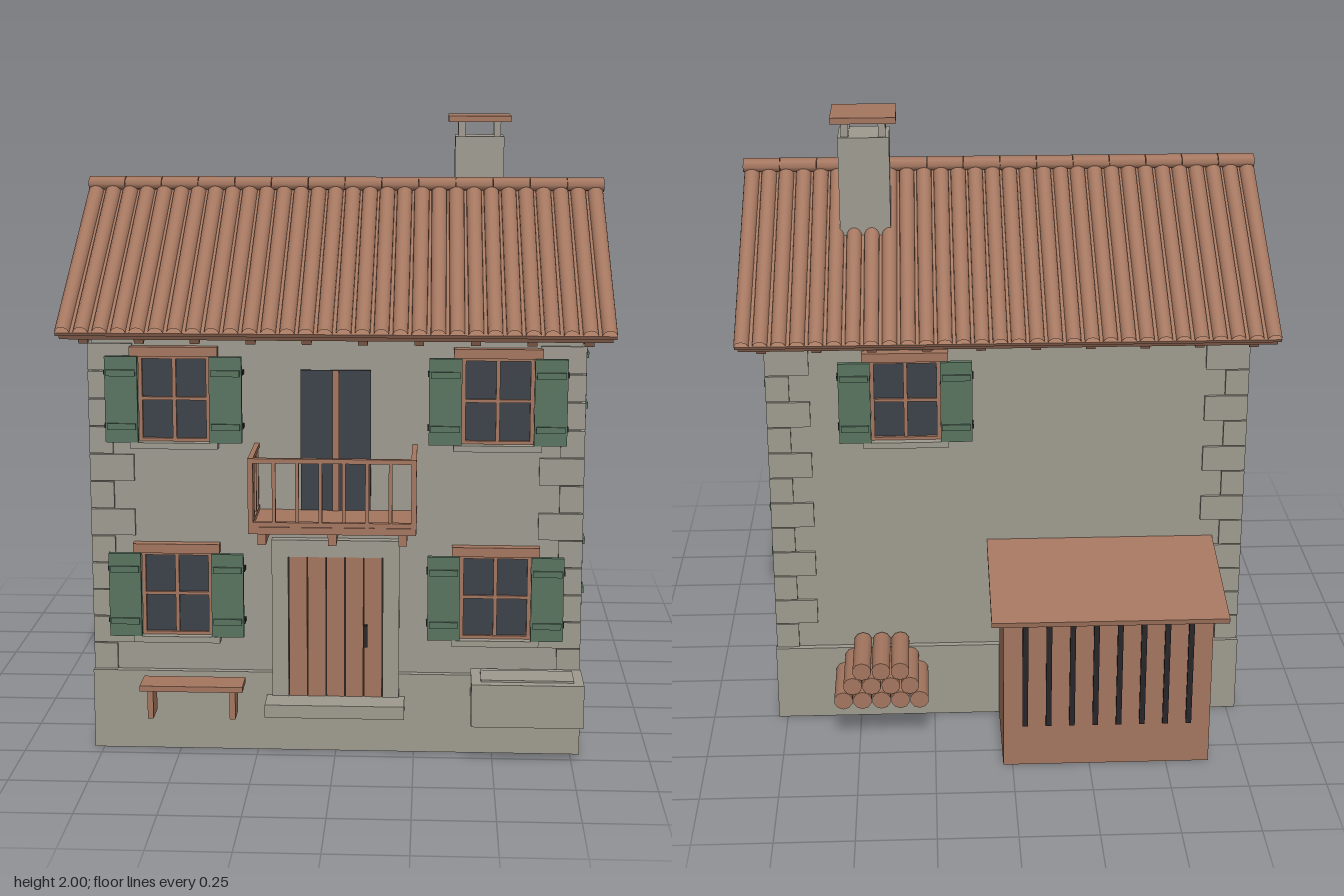
import * as THREE from 'three';

const flat = (name, color, side = THREE.FrontSide) => {
  const m = new THREE.MeshStandardMaterial({ color, side });
  m.name = name;
  return m;
};

export function createModel() {
  const stone = flat('stone', 0x9e9a8f);
  const wood = flat('wood', 0xa4765f);
  const tile = flat('terracotta', 0xa4765f, THREE.DoubleSide);
  const green = flat('shutter green', 0x58735f);
  const glass = flat('glass', 0x3b4048);
  const iron = flat('iron', 0x26262a);

  const house = new THREE.Group();
  house.name = 'house';
  const MID = 0.0975; // z of the ridge and of the house centre

  const group = (name, parent = house) => {
    const g = new THREE.Group();
    g.name = name;
    parent.add(g);
    return g;
  };
  const add = (name, geo, mat, x, y, z, parent = house) => {
    const m = new THREE.Mesh(geo, mat);
    m.name = name;
    m.position.set(x, y, z);
    parent.add(m);
    return m;
  };
  const box = (name, mat, w, h, d, x, y, z, parent) =>
    add(name, new THREE.BoxGeometry(w, h, d), mat, x, y, z, parent);

  // Plinth and gabled walls
  box('plinth', stone, 1.56, 0.26, 1.205, 0, 0.13, MID);
  const gable = new THREE.Shape([
    [-0.582, 0.2], [0.582, 0.2], [0.582, 1.4], [0, 1.745], [-0.582, 1.4],
  ].map(([x, y]) => new THREE.Vector2(x, y)));
  const wallGeo = new THREE.ExtrudeGeometry(gable, { depth: 1.53, bevelEnabled: false });
  wallGeo.translate(0, 0, -0.765).rotateY(Math.PI / 2);
  add('walls', wallGeo, stone, 0, 0, MID);

  // Corner stones, long and short by turns on each face
  const quoins = group('cornerStones');
  for (const sx of [-1, 1]) for (const sz of [-1, 1]) for (let i = 0; i < 12; i++) {
    const w = i % 2 ? 0.14 : 0.075, d = i % 2 ? 0.07 : 0.138;
    box('cornerStone', stone, w, 0.085, d,
      sx * (0.777 - w / 2), 0.304 + i * 0.0885, MID + sz * (0.592 - d / 2), quoins);
  }

  // Roof: two slopes of cover tiles over a deck with rafters
  const LEN = 0.8, PITCH = Math.atan(0.585);
  const coverGeo = new THREE.CylinderGeometry(0.024, 0.026, LEN, 8, 1, true, -Math.PI / 2, Math.PI);
  coverGeo.rotateX(Math.PI / 2);
  coverGeo.rotateZ(Math.PI);
  coverGeo.computeBoundingBox();
  if (coverGeo.boundingBox.max.y < 0.01) coverGeo.rotateZ(Math.PI);
  for (const s of [1, -1]) {
    const side = group(s > 0 ? 'frontRoof' : 'backRoof');
    side.position.set(0, 1.785, MID);
    side.rotation.order = 'YXZ';
    side.rotation.set(PITCH, s > 0 ? 0 : Math.PI, 0);
    box('roofDeck', wood, 1.7, 0.014, LEN - 0.01, 0, -0.04, LEN / 2, side);
    box('tileBed', tile, 1.72, 0.012, LEN, 0, -0.024, LEN / 2, side);
    for (let i = 0; i < 30; i++)
      add('coverTile', coverGeo, tile, -0.838 + i * 0.0578, -0.021, LEN / 2, side);
    for (let i = 0; i < 10; i++)
      box('rafter', wood, 0.03, 0.03, 0.16, -0.78 + i * 0.1733, -0.06, LEN - 0.1, side);
  }

  // Ridge tiles
  const ridgeGeo = new THREE.CylinderGeometry(0.04, 0.04, 0.122, 8, 1, false);
  ridgeGeo.rotateZ(Math.PI / 2).scale(1, 0.6, 1);
  for (let i = 0; i < 14; i++) add('ridgeTile', ridgeGeo, tile, -0.8 + i * 0.1235, 1.776, MID);

  // Chimney with a raised cap
  box('chimney', stone, 0.166, 0.43, 0.166, 0.454, 1.715, -0.092);
  for (const sx of [-1, 1]) for (const sz of [-1, 1])
    box('chimneyPost', stone, 0.024, 0.055, 0.024, 0.454 + sx * 0.06, 1.955, -0.092 + sz * 0.06);
  box('chimneyCap', wood, 0.212, 0.02, 0.212, 0.454, 1.99, -0.092);

  // Shuttered window, built facing +z with its origin on the wall
  const addWindow = (x, y, z, turn) => {
    const w = group('window');
    w.position.set(x, y, z);
    w.rotation.y = turn;
    box('pane', glass, 0.22, 0.27, 0.008, 0, 0, 0.003, w);
    for (const s of [-1, 1]) {
      box('frameSide', wood, 0.012, 0.27, 0.02, s * 0.106, 0, 0.008, w);
      box('frameRail', wood, 0.22, 0.01, 0.02, 0, s * 0.131, 0.008, w);
    }
    box('mullion', wood, 0.012, 0.27, 0.016, 0, 0, 0.008, w);
    box('transom', wood, 0.22, 0.01, 0.016, 0, 0, 0.008, w);
    box('lintel', wood, 0.275, 0.03, 0.035, 0, 0.15, 0.014, w);
    box('sill', stone, 0.275, 0.02, 0.045, 0, -0.147, 0.018, w);
    for (const s of [-1, 1]) {
      box('shutter', green, 0.102, 0.272, 0.018, s * 0.163, 0, 0.034, w);
      for (const h of [-0.085, 0.085]) {
        box('shutterBatten', green, 0.09, 0.02, 0.008, s * 0.163, h, 0.046, w);
        box('hinge', iron, 0.012, 0.014, 0.036, s * 0.212, h, 0.02, w);
      }
    }
  };
  for (const y of [0.517, 1.148]) {
    for (const s of [-1, 1]) {
      addWindow(s * 0.505, y, MID + 0.582, 0);
      addWindow(s * 0.765, y, MID, s * Math.PI / 2);
    }
  }
  addWindow(0.33, 1.148, MID - 0.582, Math.PI);

  // Front door with stone surround and step
  const door = group('frontDoor');
  for (const s of [-1, 1]) box('doorJamb', stone, 0.052, 0.52, 0.04, s * 0.176, 0.44, 0.69, door);
  box('doorHead', stone, 0.404, 0.055, 0.04, 0, 0.6725, 0.69, door);
  box('doorGaps', iron, 0.3, 0.465, 0.02, 0, 0.415, 0.692, door);
  for (let i = 0; i < 5; i++) box('doorPlank', wood, 0.057, 0.46, 0.02, -0.119 + i * 0.0595, 0.415, 0.697, door);
  box('doorHandle', iron, 0.014, 0.07, 0.02, 0.095, 0.39, 0.714, door);
  box('doorStep', stone, 0.44, 0.042, 0.12, 0, 0.164, 0.74, door);

  // Balcony door
  box('balconyDoorGlass', glass, 0.22, 0.45, 0.012, 0, 1.015, 0.68);
  box('balconyDoorFrame', wood, 0.02, 0.45, 0.02, 0, 1.015, 0.682);

  // Balcony with railing on three sides
  const balcony = group('balcony');
  box('balconyFloor', wood, 0.512, 0.022, 0.235, 0, 0.781, 0.793, balcony);
  for (const x of [-0.215, 0, 0.215]) box('balconyBeam', wood, 0.026, 0.036, 0.23, x, 0.753, 0.79, balcony);
  for (const y of [0.8, 0.998]) {
    box('frontRail', wood, 0.512, 0.014, 0.016, 0, y, 0.902, balcony);
    for (const s of [-1, 1]) box('sideRail', wood, 0.016, 0.014, 0.225, s * 0.248, y, 0.79, balcony);
  }
  for (let i = 0; i < 8; i++) {
    const t = i === 0 || i === 7 ? 0.016 : 0.011;
    box('baluster', wood, t, 0.21, t, -0.248 + i * 0.0709, 0.895, 0.902, balcony);
  }
  for (const s of [-1, 1]) for (const z of [0.695, 0.765, 0.835])
    box('sideBaluster', wood, 0.011, 0.21, 0.011, s * 0.248, 0.895, z, balcony);

  // Bench
  const bench = group('bench');
  box('benchSeat', wood, 0.325, 0.018, 0.1, -0.45, 0.241, 0.775, bench);
  for (const s of [-1, 1]) box('benchLeg', wood, 0.018, 0.092, 0.085, -0.45 + s * 0.13, 0.187, 0.775, bench);

  // Stone trough
  box('trough', stone, 0.35, 0.138, 0.16, 0.605, 0.212, 0.775);
  box('troughTop', stone, 0.29, 0.008, 0.1, 0.605, 0.283, 0.775);

  // Lean-to shed with slatted back
  const shed = group('shed');
  box('shedBody', wood, 0.67, 0.56, 0.35, -0.305, 0.28, -0.665, shed);
  for (let i = 0; i < 8; i++)
    box('shedSlot', iron, 0.018, 0.4, 0.009, -0.57 + i * 0.0757, 0.345, -0.843, shed);
  const lid = box('shedRoof', wood, 0.75, 0.018, 0.435, -0.305, 0.59, -0.695, shed);
  lid.rotation.x = -Math.atan(0.21);

  // Stacked firewood
  const logGeo = new THREE.CylinderGeometry(0.031, 0.031, 0.215, 10).rotateX(Math.PI / 2);
  const logs = group('firewood');
  for (let row = 0; row < 3; row++) for (let i = 0; i < 5 - row; i++)
    add('log', logGeo, wood, 0.425 + (i - (4 - row) / 2) * 0.0625, 0.174 + row * 0.053, -0.603, logs);

  return house;
}
